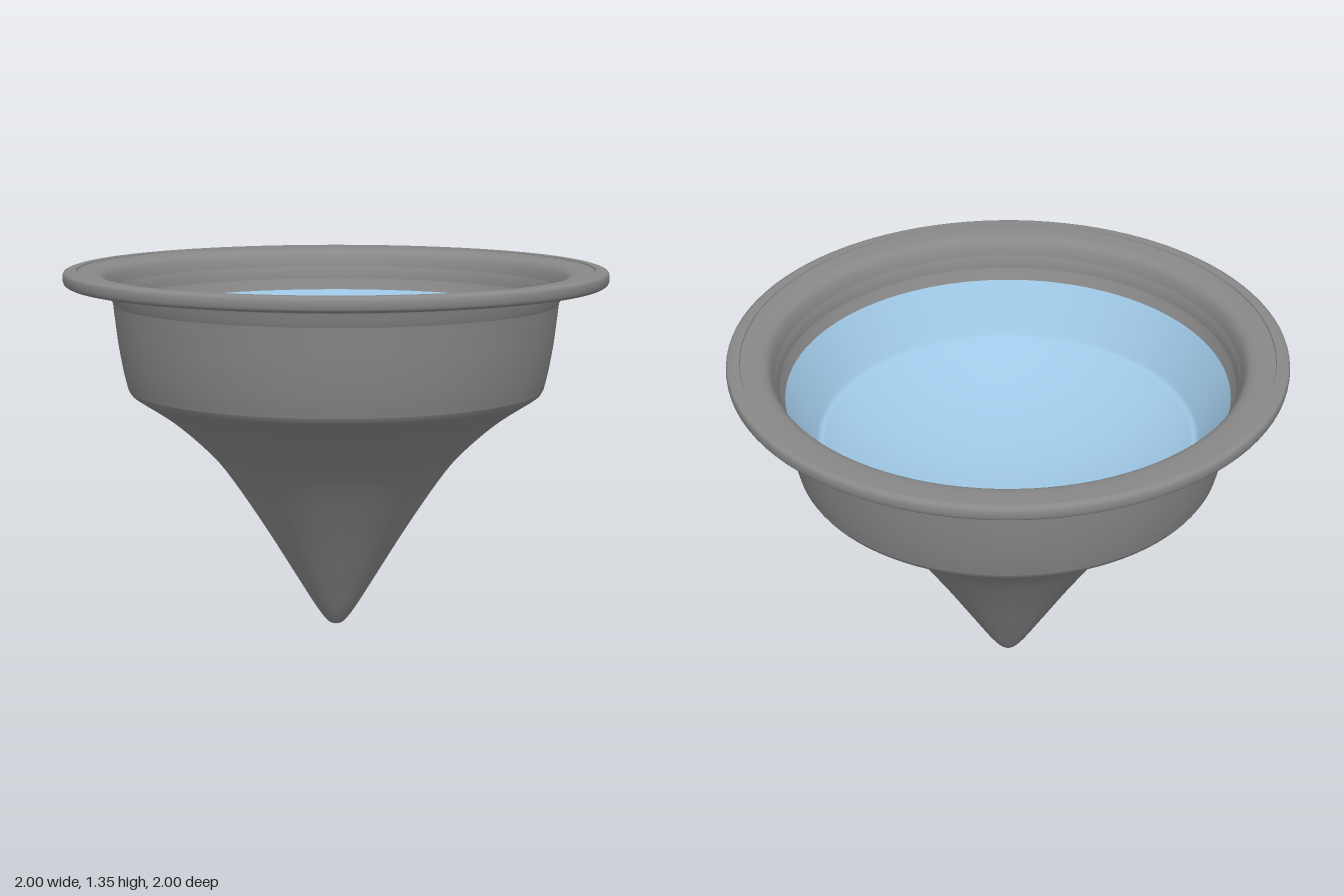
import * as THREE from 'three';

const SEGMENTS = 96;

// Surface of revolution; each call is smooth inside and sharp at its ends.
// Profiles run from the tip up, over the rim and down inside, so faces point outward.
function ring(name, points, material, smooth = 0) {
  let profile = points.map(([r, y]) => new THREE.Vector2(r, y));
  if (smooth) {
    profile = new THREE.SplineCurve(profile).getPoints(smooth);
    profile.forEach((p) => { p.x = Math.max(p.x, 0); });
  }
  const mesh = new THREE.Mesh(new THREE.LatheGeometry(profile, SEGMENTS), material);
  mesh.name = name;
  return mesh;
}

export function createModel() {
  const model = new THREE.Group();
  model.name = 'funnelBasin';

  const grey = new THREE.MeshStandardMaterial({ color: 0x888888 });
  grey.name = 'grey shell';
  const blue = new THREE.MeshStandardMaterial({ color: 0x9fc8e6 });
  blue.name = 'pale blue lining';
  grey.side = blue.side = THREE.DoubleSide;

  // Outer shell: flared cone with a rounded tip, then the drum wall
  model.add(ring('cone', [
    [0, 0], [0.03, 0.012], [0.075, 0.07], [0.155, 0.2], [0.278, 0.4],
    [0.413, 0.6], [0.503, 0.7], [0.618, 0.8], [0.745, 0.885],
  ], grey, 48));
  model.add(ring('coneShoulder', [[0.745, 0.885], [0.759, 0.896], [0.769, 0.912]], grey, 6));
  model.add(ring('drumWall', [
    [0.769, 0.912], [0.785, 0.98], [0.802, 1.08], [0.814, 1.18], [0.823, 1.25], [0.842, 1.296],
  ], grey, 24));

  // Flange: flat underside, rounded edge, faint raised lip and flat top rolling inward
  model.add(ring('flangeUnderside', [[0.842, 1.296], [0.985, 1.296]], grey));
  model.add(ring('flangeEdge', [
    [0.985, 1.296], [0.996, 1.303], [1, 1.316], [1, 1.332], [0.995, 1.344], [0.98, 1.35],
  ], grey, 16));
  model.add(ring('flangeLip', [[0.98, 1.35], [0.952, 1.35]], grey));
  model.add(ring('lipStep', [[0.952, 1.35], [0.95, 1.344]], grey));
  model.add(ring('flangeTop', [
    [0.95, 1.344], [0.9, 1.342], [0.87, 1.336], [0.85, 1.321], [0.836, 1.29],
    [0.822, 1.235], [0.8, 1.185],
  ], grey, 28));

  // Blue lining: steep wall, small rounded ledge and shallow bowl floor
  model.add(ring('liningWall', [[0.8, 1.185], [0.695, 1.005]], blue));
  model.add(ring('liningLedge', [[0.695, 1.005], [0.686, 0.994], [0.67, 0.987]], blue, 8));
  model.add(ring('bowlFloor', [
    [0.67, 0.987], [0.6, 0.945], [0.45, 0.877], [0.25, 0.822], [0.1, 0.803], [0, 0.8],
  ], blue, 32));

  return model;
}
